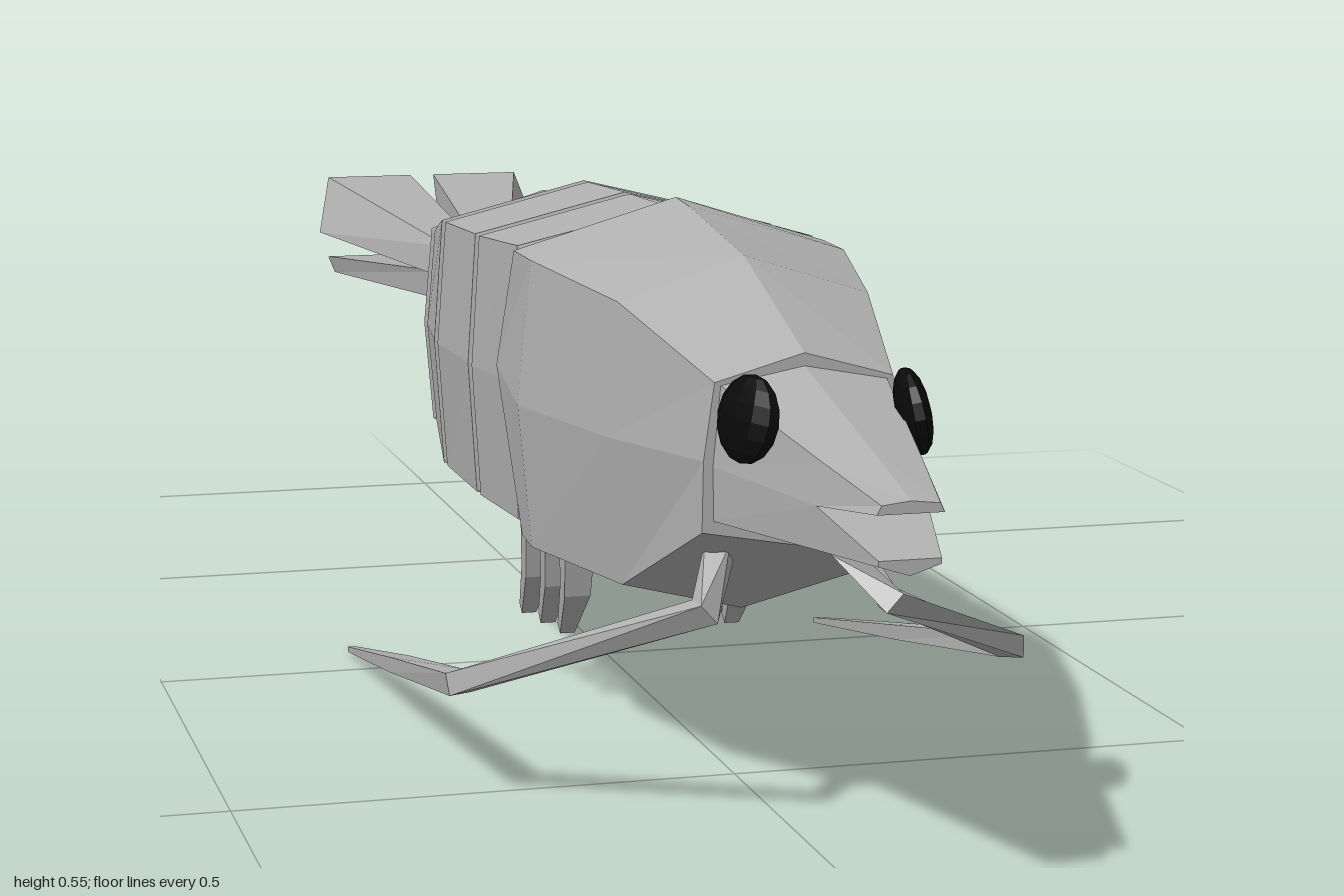
import * as THREE from 'three';

const shell = new THREE.MeshStandardMaterial({ color: 0xb0b0b0, flatShading: true });
shell.name = 'shell grey';
const black = new THREE.MeshStandardMaterial({ color: 0x0a0a0a, flatShading: true });
black.name = 'eye black';

// Closed skin over rings of points; rings run front to back, counterclockwise from the front.
function loft(rings) {
  const out = [];
  const tri = (a, b, c) => out.push(...a, ...b, ...c);
  const n = rings[0].length;
  for (let r = 0; r < rings.length - 1; r++) {
    const a = rings[r], b = rings[r + 1];
    for (let i = 0; i < n; i++) {
      const j = (i + 1) % n;
      tri(a[i], b[i], b[j]);
      tri(a[i], b[j], a[j]);
    }
  }
  const first = rings[0], last = rings[rings.length - 1];
  for (let i = 1; i < n - 1; i++) {
    tri(first[0], first[i], first[i + 1]);
    tri(last[0], last[i + 1], last[i]);
  }
  const g = new THREE.BufferGeometry();
  g.setAttribute('position', new THREE.Float32BufferAttribute(out, 3));
  g.computeVertexNormals();
  return g;
}

// Eight-sided body ring: top, shoulder, middle, lower edge, bottom.
// z is one value or five, in that order.
function bodyRing(z, top, [sx, sy], [mx, my], [lx, ly], bottom) {
  const [zt, zs, zm, zl, zb] = Array.isArray(z) ? z : [z, z, z, z, z];
  return [[mx, my, zm], [sx, sy, zs], [0, top, zt], [-sx, sy, zs],
    [-mx, my, zm], [-lx, ly, zl], [0, bottom, zb], [lx, ly, zl]];
}

// Square-section limb along a path of [x, y, z, halfWidth, halfDepth].
function limb(path) {
  const pts = path.map(p => new THREE.Vector3(p[0], p[1], p[2]));
  const up = new THREE.Vector3(0, 1, 0);
  return loft(pts.map((p, i) => {
    const t = new THREE.Vector3();
    if (i > 0) t.add(p.clone().sub(pts[i - 1]).normalize());
    if (i < pts.length - 1) t.add(pts[i + 1].clone().sub(p).normalize());
    t.normalize();
    const x = t.clone().cross(up).normalize();
    const y = x.clone().cross(t);
    return [[1, 1], [-1, 1], [-1, -1], [1, -1]].map(([a, b]) =>
      p.clone().addScaledVector(x, a * path[i][3]).addScaledVector(y, b * path[i][4]).toArray());
  }));
}

// Mirror rings across x = 0, keeping the corner order.
const sided = (rings, s) => s > 0 ? rings
  : rings.map(r => r.map(([x, y, z]) => [-x, y, z]).reverse());

export function createModel() {
  const model = new THREE.Group();
  model.name = 'shrimp';
  const add = (name, geometry, material = shell) => {
    const mesh = new THREE.Mesh(geometry, material);
    mesh.name = name;
    model.add(mesh);
    return mesh;
  };

  // Carapace with a chevron-shaped rear edge
  add('carapace', loft([
    bodyRing(0.71, 0.456, [0.085, 0.432], [0.095, 0.36], [0.096, 0.294], 0.277),
    bodyRing(0.52, 0.52, [0.125, 0.48], [0.135, 0.35], [0.12, 0.205], 0.175),
    bodyRing(0.33, 0.545, [0.164, 0.496], [0.178, 0.35], [0.164, 0.204], 0.157),
    bodyRing([0.28, 0.26, 0.2, 0.28, 0.33], 0.549, [0.165, 0.497], [0.17, 0.37], [0.162, 0.206], 0.158),
  ]));

  // Abdomen: five plates with shallow grooves between them
  // z, top, shoulder x, shoulder y, middle x, lower y, bottom
  const joints = [
    [0.255, 0.536, 0.158, 0.5, 0.165, 0.215, 0.178],
    [0.09, 0.532, 0.165, 0.492, 0.174, 0.212, 0.175],
    [-0.09, 0.525, 0.163, 0.485, 0.173, 0.21, 0.174],
    [-0.28, 0.493, 0.135, 0.452, 0.145, 0.226, 0.19],
    [-0.475, 0.45, 0.088, 0.42, 0.097, 0.252, 0.215],
    [-0.655, 0.398, 0.05, 0.385, 0.057, 0.312, 0.3],
  ];
  const plateRing = ([, t, sx, sy, mx, ly, b], z, k = 1) => {
    const c = (t + b) / 2, f = y => c + (y - c) * k;
    return bodyRing(z, f(t), [sx * k, f(sy)], [mx * k, f(c)], [sx * k, f(ly)], f(b));
  };
  const rings = [plateRing(joints[0], 0.35, 0.92)];
  joints.forEach((j, i) => {
    const z = j[0], last = i === joints.length - 1;
    if (i > 0) rings.push(plateRing(j, z + 0.009));
    rings.push(plateRing(j, z + 0.005, 0.93));
    if (!last) rings.push(plateRing(j, z - 0.005, 0.93), plateRing(j, z - 0.009));
  });
  add('abdomen', loft(rings));

  // Upper and lower jaws, parted at the tip
  const upper = (z, top, sx, sy, mx, my) =>
    [[mx, my, z], [sx, sy, z], [0, top, z], [-sx, sy, z], [-mx, my, z]];
  add('upperJaw', loft([
    upper(1, 0.377, 0.026, 0.374, 0.03, 0.366),
    upper(0.9, 0.401, 0.045, 0.393, 0.05, 0.355),
    upper(0.705, 0.445, 0.08, 0.43, 0.087, 0.355),
  ]));
  const lower = (z, tx, ty, lx, ly, bottom) =>
    [[tx, ty, z], [-tx, ty, z], [-lx, ly, z], [0, bottom, z], [lx, ly, z]];
  add('lowerJaw', loft([
    lower(1, 0.028, 0.327, 0.028, 0.322, 0.313),
    lower(0.9, 0.05, 0.355, 0.048, 0.316, 0.306),
    lower(0.705, 0.087, 0.355, 0.086, 0.304, 0.292),
  ]));

  for (const s of [1, -1]) {
    const side = s > 0 ? 'left' : 'right';

    // Eye
    const eye = add(side + 'Eye', new THREE.SphereGeometry(1, 10, 8), black);
    eye.scale.set(0.016, 0.04, 0.05);
    eye.position.set(s * 0.077, 0.412, 0.787);
    eye.rotation.set(0, -s * 0.2, s * 0.2);

    // Long feeler sweeping back beside the body
    add(side + 'Feeler', limb([
      [s * 0.062, 0.262, 0.65, 0.012, 0.012],
      [s * 0.09, 0.218, 0.7, 0.013, 0.012],
      [s * 0.282, 0.118, 0.518, 0.012, 0.011],
      [s * 0.278, 0.06, 0.21, 0.011, 0.008],
      [s * 0.275, 0.005, -0.08, 0.004, 0.003],
    ]));

    // Three bent swimming legs
    for (let i = 0; i < 3; i++) {
      const x = s * (0.091 + i * 0.009), z = 0.235 - i * 0.05;
      add(side + 'Leg' + (i + 1), limb([
        [x, 0.23, z, 0.018, 0.014],
        [x, 0.13, z - 0.015, 0.014, 0.011],
        [x, 0.08, z - 0.055, 0.008, 0.007],
      ]));
    }

    // Tail fins, a tall upper blade and a thin lower one
    add(side + 'UpperTailFin', loft(sided([
      [[0.046, 0.342, -0.64], [0.04, 0.382, -0.64], [0, 0.382, -0.64], [0, 0.342, -0.64]],
      [[0.15, 0.365, -0.96], [0.13, 0.435, -1], [0.016, 0.435, -1], [0.016, 0.365, -0.96]],
    ], s)));
    add(side + 'LowerTailFin', loft(sided([
      [[0.042, 0.312, -0.64], [0.046, 0.35, -0.64], [0, 0.35, -0.64], [0, 0.312, -0.64]],
      [[0.13, 0.31, -0.96], [0.138, 0.331, -0.965], [0.016, 0.331, -0.965], [0.016, 0.31, -0.96]],
    ], s)));
  }
  return model;
}
